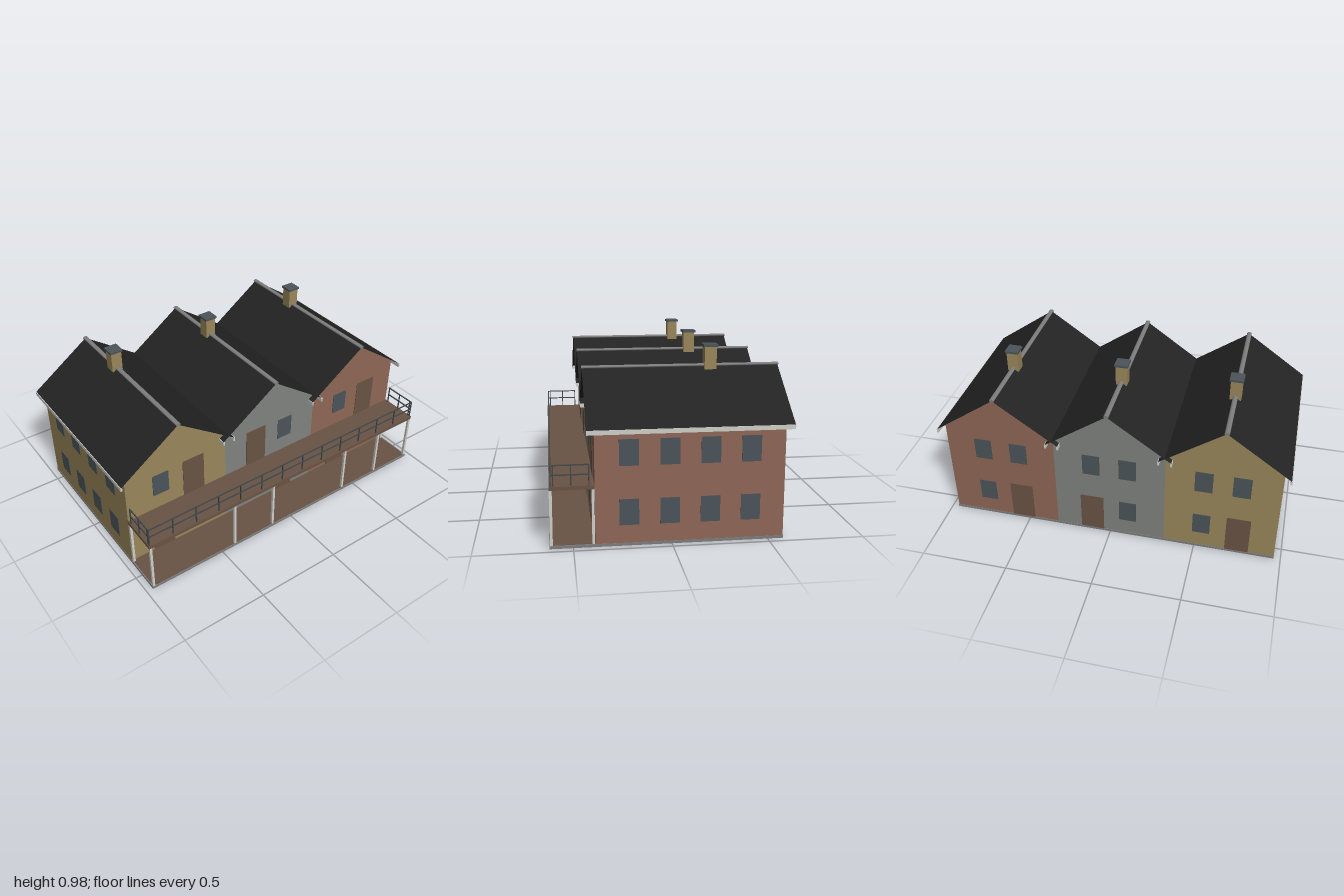
import * as THREE from 'three';

const mat = (name, color, extra = {}) => {
  const m = new THREE.MeshStandardMaterial({ color, ...extra });
  m.name = name;
  return m;
};

export function createModel() {
  const yellow = mat('ochre render', 0x9a875b);
  const grey = mat('grey render', 0x808381);
  const red = mat('brick red', 0x8f6757);
  const wood = mat('brown wood', 0x695444);
  const slate = mat('slate blue', 0x4c555a);
  const black = mat('black roof', 0x232323, { side: THREE.DoubleSide });
  const white = mat('pale trim', 0xd0d0ca);
  const stone = mat('stone grey', 0x7e7e7e);
  const iron = mat('dark railing', 0x41484b);

  const model = new THREE.Group();
  model.name = 'terracedHouses';

  const box = (parent, name, material, w, h, d, x, y, z) => {
    const m = new THREE.Mesh(new THREE.BoxGeometry(w, h, d), material);
    m.name = name;
    m.position.set(x, y, z);
    parent.add(m);
    return m;
  };

  const FRONT = 0.39, BACK = -0.58, BASE = 0.015, DECK = 0.325;
  const HALF = 0.32, EAVE = 0.634, PEAK = 0.859;
  const slope = (PEAK - EAVE) / HALF;
  const ROOF_Z = -0.093, ROOF_LEN = 1.045, OVER = 0.358;

  // Ground slab and porch floor
  box(model, 'baseSlab', stone, 1.924, BASE, 1.203, 0, BASE / 2, 0.0185);
  box(model, 'porchFloor', wood, 1.91, 0.003, 0.225, 0, BASE + 0.001, 0.503);

  // Openings on a gable wall: w = window, d = door
  const opening = (g, kind, x, floor, z) => {
    if (kind === 'w') {
      box(g, 'window', slate, 0.1, 0.136, 0.006, x, floor ? 0.487 : 0.178, z);
    } else {
      const bottom = floor ? DECK : BASE;
      box(g, 'door', wood, 0.136, 0.24, 0.006, x, bottom + 0.12, z);
    }
  };

  // Each string lists the left-to-right (-x, +x) openings of one storey
  const houses = [
    { name: 'ochreHouse', x: -0.64, m: yellow, up: 'wd', low: 'dw', back: 'dw' },
    { name: 'greyHouse', x: 0, m: grey, up: 'dw', low: 'wd', back: 'wd' },
    { name: 'redHouse', x: 0.64, m: red, up: 'wd', low: 'dw', back: 'dw' },
  ];

  for (const h of houses) {
    const g = new THREE.Group();
    g.name = h.name;
    g.position.x = h.x;
    model.add(g);

    // Gabled body
    const s = new THREE.Shape([
      new THREE.Vector2(-HALF, BASE), new THREE.Vector2(HALF, BASE),
      new THREE.Vector2(HALF, EAVE), new THREE.Vector2(0, PEAK),
      new THREE.Vector2(-HALF, EAVE),
    ]);
    const body = new THREE.Mesh(
      new THREE.ExtrudeGeometry(s, { depth: FRONT - BACK, bevelEnabled: false }), h.m);
    body.name = 'walls';
    body.position.z = BACK;
    g.add(body);

    [-0.105, 0.105].forEach((x, i) => {
      opening(g, h.up[i], x, 1, FRONT);
      opening(g, h.low[i], x, 0, FRONT);
      opening(g, 'w', x, 1, BACK);
      opening(g, h.back[i], x, 0, BACK);
    });

    // Thin roof sheets with a gutter under each eave
    for (const side of [-1, 1]) {
      const angle = Math.atan(slope);
      const geo = new THREE.PlaneGeometry(OVER / Math.cos(angle), ROOF_LEN);
      geo.rotateX(-Math.PI / 2);
      const sheet = new THREE.Mesh(geo, black);
      sheet.name = 'roofSlope';
      sheet.rotation.z = -side * angle;
      sheet.position.set(side * OVER / 2, PEAK + 0.003 - slope * OVER / 2, ROOF_Z);
      g.add(sheet);
      box(g, 'gutter', white, 0.01, 0.023, ROOF_LEN, side * 0.355, 0.6, ROOF_Z);
    }

    // Rounded ridge cap
    const ridge = new THREE.Mesh(new THREE.CylinderGeometry(0.014, 0.014, 1.05, 12), stone);
    ridge.name = 'ridgeCap';
    ridge.rotation.x = Math.PI / 2;
    ridge.scale.z = 0.6;
    ridge.position.set(0, 0.864, ROOF_Z);
    g.add(ridge);

    // Chimney
    box(g, 'chimney', yellow, 0.064, 0.12, 0.064, 0, 0.904, -0.246);
    box(g, 'chimneyCap', slate, 0.077, 0.013, 0.077, 0, 0.97, -0.246);
  }

  // Side wall windows
  for (const side of [-1, 1])
    for (const z of [0.218, 0.011, -0.196, -0.404])
      for (const y of [0.178, 0.487])
        box(model, 'sideWindow', slate, 0.006, 0.136, 0.1, side * 0.96, y, z);

  // Balcony deck and columns
  const balcony = new THREE.Group();
  balcony.name = 'balcony';
  model.add(balcony);
  box(balcony, 'deck', wood, 1.924, 0.02, 0.226, 0, 0.315, 0.503);
  for (const x of [-0.952, -0.41, -0.138, 0.41, 0.683, 0.952])
    box(balcony, 'column', white, 0.014, 0.29, 0.014, x, 0.16, 0.609);
  for (const x of [-0.952, 0.952])
    box(balcony, 'wallColumn', white, 0.014, 0.29, 0.014, x, 0.16, 0.398);

  // Railing: long front run and two short ends
  const T = 0.006, TOP = 0.435;
  const post = (x, z) =>
    box(balcony, 'railPost', iron, T, TOP - DECK, T, x, (TOP + DECK) / 2, z);
  for (let i = 0; i <= 13; i++) post(-0.955 + i * 1.91 / 13, 0.607);
  for (const y of [0.382, TOP - T / 2])
    box(balcony, 'frontRail', iron, 1.91, T, T, 0, y, 0.607);
  for (const x of [-0.955, 0.955]) {
    for (const z of [0.595, 0.506, 0.417]) post(x, z);
    for (const y of [0.382, TOP - T / 2])
      box(balcony, 'endRail', iron, T, T, 0.19, x, y, 0.509);
  }

  return model;
}
